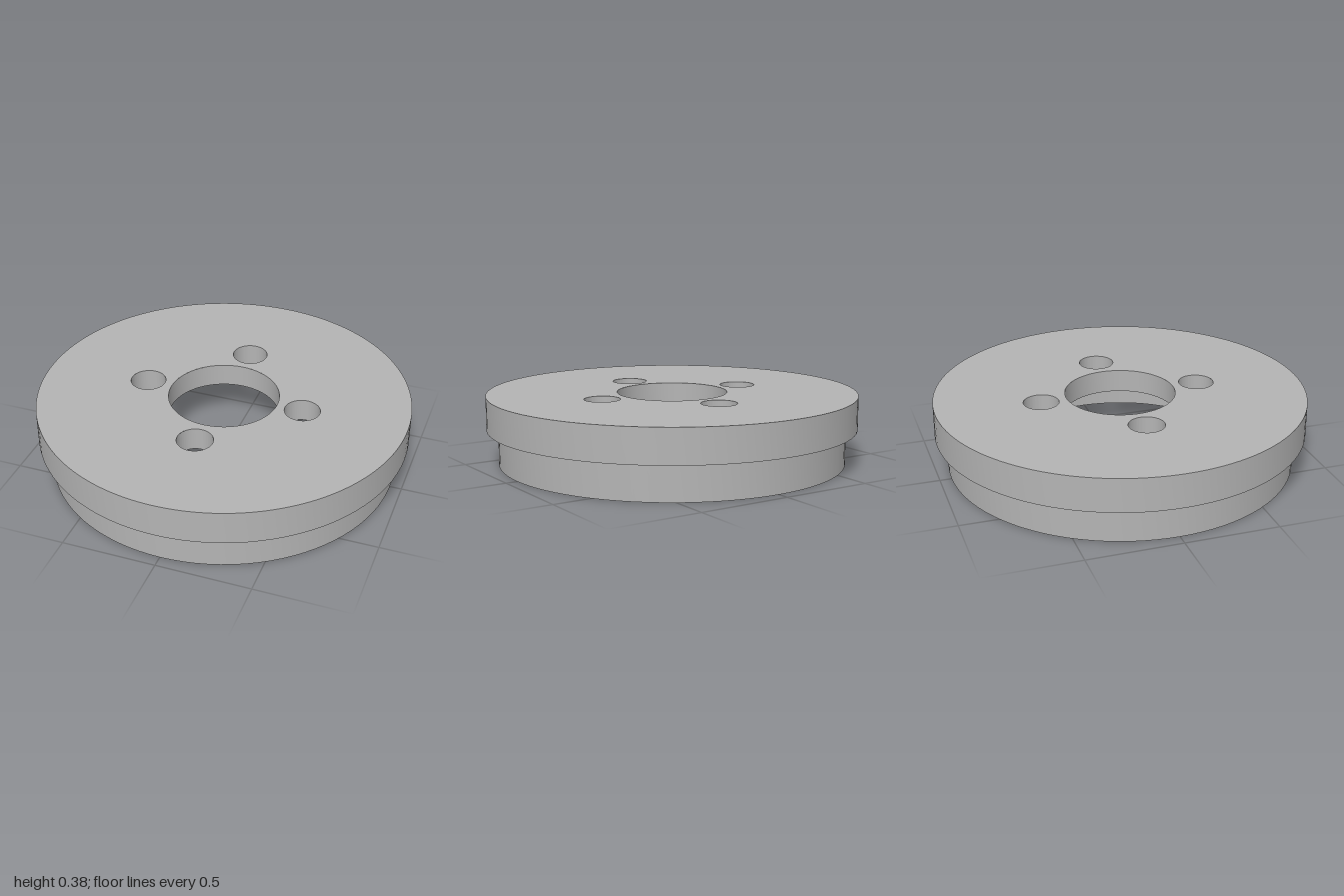
import * as THREE from 'three';
import { toCreasedNormals } from 'three/addons/utils/BufferGeometryUtils.js';

const SEGMENTS = 96;
const TOP = 0.375, CEILING = 0.25, STEP = 0.193;
const OUTER = 1, HUB = 0.9375, RECESS = 0.69;

// Round openings through the web: a centre bore and four bolt holes
const holes = [{ name: 'centreBore', x: 0, z: 0, r: 0.297 }];
for (let i = 0; i < 4; i++) {
  const a = (i * Math.PI) / 2;
  holes.push({ name: 'boltHole', x: 0.4375 * Math.cos(a), z: 0.4375 * Math.sin(a), r: 0.095 });
}

// Surface of revolution with sharp corners; rising profiles face outward
function turned(profile) {
  const points = profile.map(([r, y]) => new THREE.Vector2(r, y));
  return toCreasedNormals(new THREE.LatheGeometry(points, SEGMENTS), 0.5);
}

// Flat disc pierced by all the holes, facing up or down
function piercedDisc(radius, y, facing) {
  const shape = new THREE.Shape().absarc(0, 0, radius, 0, Math.PI * 2, false);
  for (const h of holes) {
    shape.holes.push(new THREE.Path().absarc(h.x, h.z, h.r, 0, Math.PI * 2, true));
  }
  return new THREE.ShapeGeometry(shape, SEGMENTS)
    .rotateX((-facing * Math.PI) / 2)
    .translate(0, y, 0);
}

export function createModel() {
  const group = new THREE.Group();
  group.name = 'steppedDisc';
  const metal = new THREE.MeshStandardMaterial({ color: 0xb4b4b4 });
  metal.name = 'grey metal';

  function add(name, geometry) {
    const mesh = new THREE.Mesh(geometry, metal);
    mesh.name = name;
    group.add(mesh);
    return mesh;
  }

  // Recess wall, underside, hub wall, step and flange wall in one profile
  add('steppedRim', turned([
    [RECESS, CEILING], [RECESS, 0], [HUB, 0], [HUB, STEP], [OUTER, STEP], [OUTER, TOP],
  ]));

  // Upper face and the ceiling of the recess beneath it
  add('topFace', piercedDisc(OUTER, TOP, 1));
  add('recessCeiling', piercedDisc(RECESS, CEILING, -1));

  // Walls of the holes, facing inward
  for (const h of holes) {
    add(h.name, turned([[h.r, TOP], [h.r, CEILING]])).position.set(h.x, 0, h.z);
  }
  return group;
}
